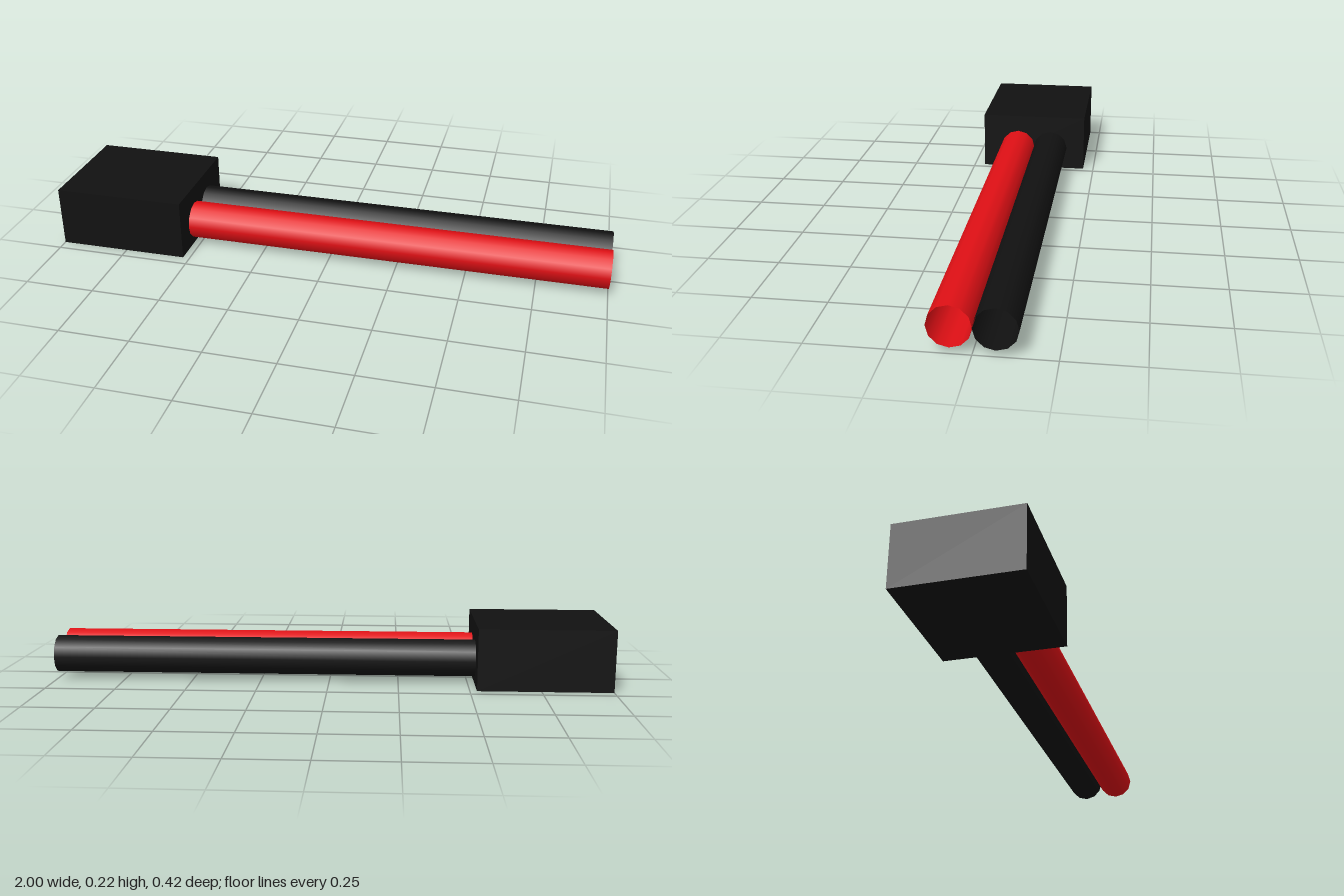
import * as THREE from 'three';

export function createModel() {
  const group = new THREE.Group();
  const black = new THREE.MeshStandardMaterial({ color: 0x111111 });

  // Rectangular connector housing
  const housing = new THREE.Mesh(new THREE.BoxGeometry(0.475, 0.22, 0.416), black);
  housing.name = 'connectorHousing';
  housing.position.set(-0.7625, 0.11, 0);
  group.add(housing);

  // Two open wire sleeves running side by side from the housing
  const addWire = (name, color, z) => {
    const geometry = new THREE.CylinderGeometry(0.068, 0.068, 1.525, 12, 1, true);
    geometry.rotateZ(-Math.PI / 2);
    const material = new THREE.MeshStandardMaterial({ color, side: THREE.DoubleSide });
    const wire = new THREE.Mesh(geometry, material);
    wire.name = name;
    wire.position.set(0.2375, 0.088, z);
    group.add(wire);
  };
  addWire('redWire', 0xe01015, 0.066);
  addWire('blackWire', 0x111111, -0.069);

  return group;
}
